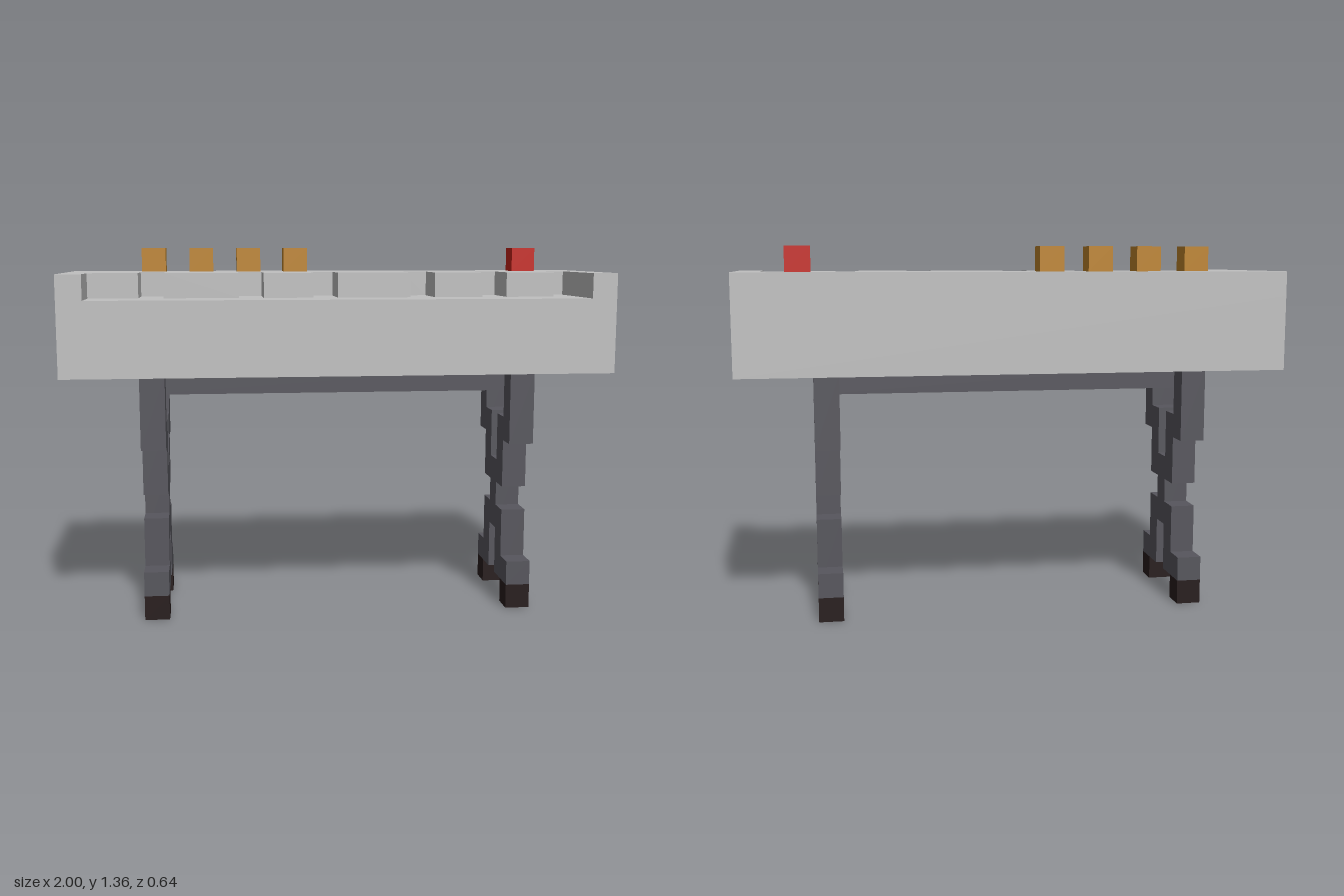
import * as THREE from 'three';

const U = 2 / 22; // one voxel

const material = (name, color) => {
  const m = new THREE.MeshStandardMaterial({ color });
  m.name = name;
  return m;
};

export function createModel() {
  const casing = material('light grey casing', 0xc0c0c0);
  const steel = material('dark grey steel', 0x57565d);
  const rubber = material('dark brown rubber', 0x271c1c);
  const amber = material('amber button', 0xbe842b);
  const red = material('red button', 0xc8231a);

  const root = new THREE.Group();
  root.name = 'keyboardOnStand';

  // Box given by its extents in voxels
  function block(parent, name, mat, [x0, x1], [y0, y1], [z0, z1]) {
    const geo = new THREE.BoxGeometry((x1 - x0) * U, (y1 - y0) * U, (z1 - z0) * U);
    const mesh = new THREE.Mesh(geo, mat);
    mesh.position.set((x0 + x1) / 2 * U, (y0 + y1) / 2 * U, (z0 + z1) / 2 * U);
    mesh.name = name;
    parent.add(mesh);
  }

  // Casing: solid lower part, and a top layer with the key bed cut out of it
  block(root, 'casingBase', casing, [-11, 11], [10, 13], [-3.5, 3.5]);

  const outline = [[-11, 3.5], [-11, -3.5], [-10, -3.5], [-10, -1.5]];
  for (const x of [-8, -4, -1, 3, 6, 9]) {
    outline.push([x, -1.5], [x, 0.5], [x + 1, 0.5]);
    if (x < 9) outline.push([x + 1, -1.5]);
  }
  outline.push([10, -3.5], [11, -3.5], [11, 3.5]);
  const shape = new THREE.Shape(outline.map(([x, y]) => new THREE.Vector2(x * U, y * U)));
  const topGeo = new THREE.ExtrudeGeometry(shape, { depth: U, bevelEnabled: false });
  topGeo.rotateX(-Math.PI / 2);
  const top = new THREE.Mesh(topGeo, casing);
  top.name = 'casingTop';
  top.position.y = 13 * U;
  root.add(top);

  // Buttons along the back
  for (const x of [-8, -6, -4, -2]) {
    block(root, 'amberButton', amber, [x, x + 1], [14, 15], [-2.5, -1.5]);
  }
  block(root, 'redButton', red, [8, 9], [14, 15], [-2.5, -1.5]);

  // Stepped X-shaped leg frames
  for (const [name, x] of [['rightLegs', -8], ['leftLegs', 7]]) {
    const legs = new THREE.Group();
    legs.name = name;
    root.add(legs);
    const xs = [x, x + 1];
    block(legs, 'legCrossing', steel, xs, [3, 6], [-0.5, 0.5]);
    for (const s of [1, -1]) {
      const span = (a, b) => (s > 0 ? [a, b] : [-b, -a]);
      block(legs, 'foot', rubber, xs, [0, 1], span(1.5, 2.5));
      block(legs, 'ankle', steel, xs, [1, 2], span(1.5, 2.5));
      block(legs, 'lowerLeg', steel, xs, [1, 4], span(0.5, 1.5));
      block(legs, 'upperLeg', steel, xs, [5, 8], span(0.5, 1.5));
      block(legs, 'legTop', steel, xs, [7, 10], span(1.5, 2.5));
    }
  }

  // Bar under the casing joining both frames
  block(root, 'crossbar', steel, [-8, 8], [9, 10], [-0.5, 0.5]);

  return root;
}
